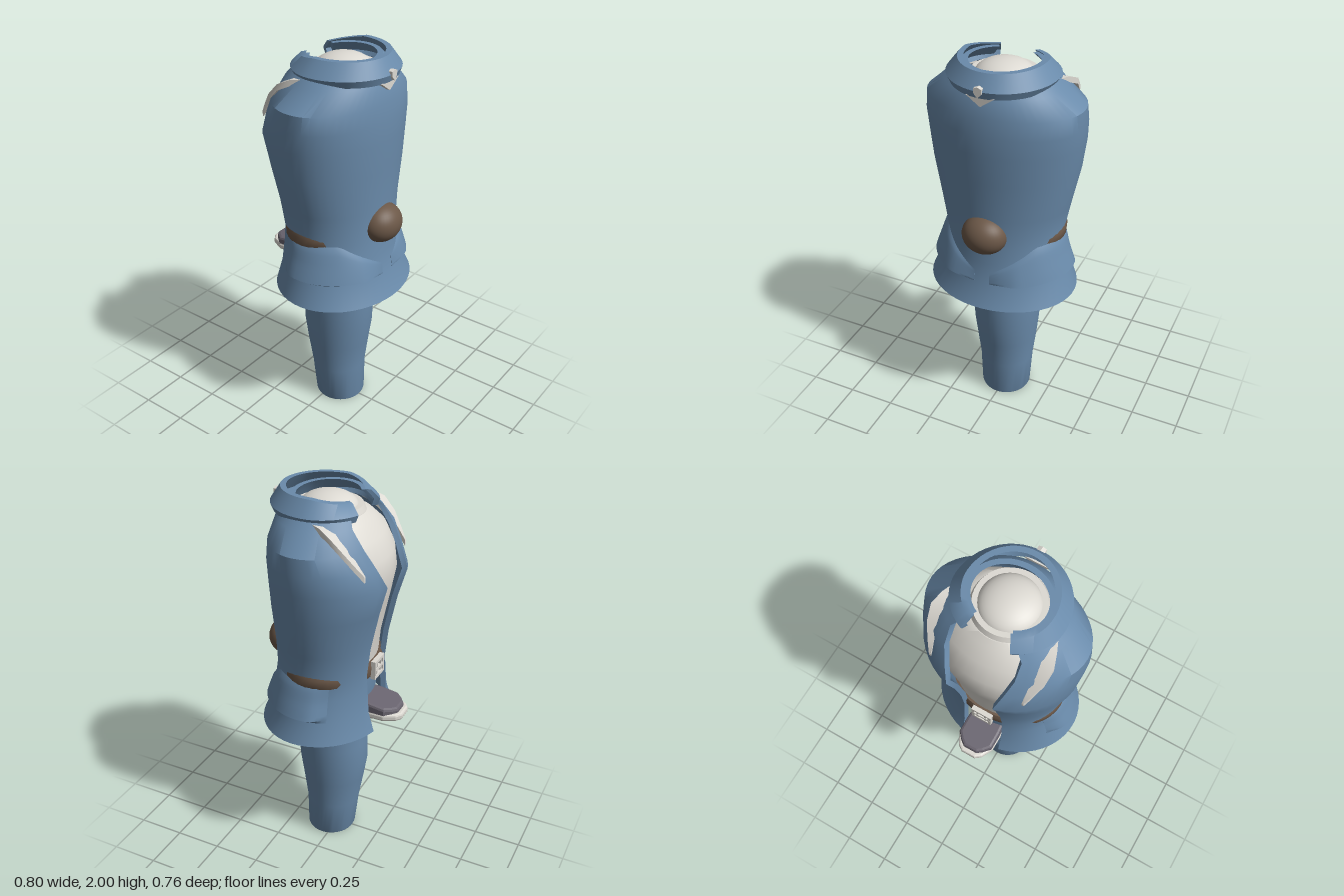
import * as THREE from 'three';
import { toCreasedNormals } from 'three/addons/utils/BufferGeometryUtils.js';

const mat = (name, color) => {
  const m = new THREE.MeshStandardMaterial({ color });
  m.name = name;
  return m;
};

// Skin closed rings; extra(n, push) may add more triangles, otherwise both ends are fanned shut
function loft(rings, extra, crease = 0.7) {
  const n = rings[0].length, pos = rings.flat(2), idx = [];
  for (let i = 0; i < rings.length - 1; i++) {
    for (let j = 0; j < n; j++) {
      const a = i * n + j, b = i * n + (j + 1) % n;
      idx.push(a, b, b + n, a, b + n, a + n);
    }
  }
  if (extra) extra(n, idx);
  else {
    const top = (rings.length - 1) * n;
    for (let j = 1; j < n - 1; j++) idx.push(0, j + 1, j, top, top + j, top + j + 1);
  }
  const g = new THREE.BufferGeometry();
  g.setAttribute('position', new THREE.Float32BufferAttribute(pos, 3));
  g.setIndex(idx);
  return toCreasedNormals(g, crease);
}

// Point on an oval whose front and back depths differ; a = 0 faces +z
function oval([y, rx, zc, zf, zb], a, grow = 0) {
  const c = Math.cos(a), depth = c > 0 ? zf - zc : zc - zb;
  return [(rx + grow) * Math.sin(a), y, zc + (depth + grow) * c];
}

// Solid body of oval levels
const body = (levels, n = 40) => loft(levels.map(l =>
  Array.from({ length: n }, (_, j) => oval(l, j / n * Math.PI * 2))));

// Thick shell, open at the back by the half-width in l[5]
function shell(levels, thick, n = 44, bend = p => p) {
  const rings = levels.map(l => {
    const lim = Math.PI - Math.asin(l[5] / l[1]);
    const angles = Array.from({ length: n }, (_, j) => lim * (2 * j / (n - 1) - 1));
    return [...angles.map(a => bend(oval(l, a))),
      ...angles.reverse().map(a => bend(oval(l, a, -thick)))];
  });
  return loft(rings, (m, idx) => {
    const t = (rings.length - 1) * m;
    for (let j = 0; j < n - 1; j++) {
      const o = j, p = j + 1, i = m - 1 - j, k = m - 2 - j;
      idx.push(o, i, k, o, k, p, t + o, t + k, t + i, t + o, t + p, t + k);
    }
  });
}

const COAT = [ // y, half width, centre z, front z, back z, opening half-width
  [0.77, 0.39, 0.06, 0.38, -0.275, 0.11], [0.88, 0.347, 0.04, 0.328, -0.245, 0.11],
  [1.0, 0.318, 0.04, 0.312, -0.24, 0.11], [1.09, 0.304, 0.03, 0.3, -0.235, 0.11],
  [1.25, 0.335, 0.03, 0.295, -0.25, 0.11], [1.45, 0.375, 0.02, 0.305, -0.29, 0.11],
  [1.6, 0.392, 0.02, 0.31, -0.335, 0.12], [1.7, 0.4, 0.03, 0.31, -0.295, 0.15],
  [1.79, 0.395, 0.03, 0.3, -0.25, 0.175], [1.88, 0.295, 0.04, 0.28, -0.21, 0.175],
  [1.97, 0.2, 0.045, 0.22, -0.13, 0.1],
];

function coatAt(y) {
  const i = Math.max(0, COAT.findIndex(l => l[0] > y) - 1);
  const f = (y - COAT[i][0]) / (COAT[i + 1][0] - COAT[i][0]);
  return COAT[i].map((v, k) => v + (COAT[i + 1][k] - v) * f);
}

// Puffed hip flap following the coat from near the front round to the side
function hipFlap() {
  const rings = [], rows = 10, cols = 24;
  for (let i = 0; i <= rows; i++) {
    const ring = [];
    for (let s = 0; s < 2; s++) {
      for (let q = 0; q <= cols; q++) {
        const u = (s ? cols - q : q) / cols, v = i / rows;
        const top = 0.95 + 0.14 * Math.min(1, u * 2.5);
        const ends = Math.min(1, u * 5, (1 - u) * 7);
        const puff = s ? -0.012 : 0.034 * ends * Math.pow(1 - v, 0.6) * Math.min(1, v * 12) + 0.001;
        ring.push(oval(coatAt(0.89 + (top - 0.89) * v), 0.12 + 1.92 * u, puff));
      }
    }
    rings.push(ring);
  }
  return loft(rings, () => {}, 0.9);
}

// Flat outline with a soft bevel
function plate(points, depth, bevel = 0) {
  const s = new THREE.Shape(points.map(p => new THREE.Vector2(...p)));
  return new THREE.ExtrudeGeometry(s, { depth, bevelEnabled: bevel > 0, bevelSize: bevel,
    bevelThickness: bevel, bevelSegments: 2 });
}

export function createModel() {
  const root = new THREE.Group();
  root.name = 'coatedFigure';
  const blue = mat('blue cloth', 0x6a8bab), white = mat('off white', 0xdddad3);
  const brown = mat('brown leather', 0x6c5848), dark = mat('dark grey', 0x6a6570);
  const add = (name, geo, material, x = 0, y = 0, z = 0) => {
    const m = new THREE.Mesh(geo, material);
    m.name = name;
    m.position.set(x, y, z);
    root.add(m);
    return m;
  };

  // Leg and hips
  add('leg', body([
    [0, 0.13, 0.035, 0.163, -0.093], [0.01, 0.135, 0.035, 0.165, -0.097], [0.2, 0.145, 0.025, 0.166, -0.12],
    [0.36, 0.163, 0.02, 0.187, -0.148], [0.48, 0.174, 0.02, 0.205, -0.167],
    [0.6, 0.179, 0.025, 0.21, -0.163], [0.8, 0.183, 0.025, 0.216, -0.16]]), blue);
  add('hips', body([
    [0.79, 0.17, 0.03, 0.2, -0.14], [0.83, 0.25, 0.03, 0.25, -0.175],
    [0.92, 0.28, 0.03, 0.27, -0.19], [1.09, 0.27, 0.03, 0.26, -0.19]]), blue);

  // Shirt, neck band and rounded neck top
  add('shirt', body([
    [1.06, 0.265, 0.03, 0.25, -0.195], [1.25, 0.29, 0.03, 0.25, -0.21], [1.45, 0.33, 0.02, 0.26, -0.25],
    [1.6, 0.345, 0.02, 0.265, -0.28], [1.7, 0.345, 0.02, 0.26, -0.265], [1.79, 0.32, 0.03, 0.25, -0.22],
    [1.86, 0.24, 0.04, 0.23, -0.165], [1.89, 0.18, 0.045, 0.225, -0.135]]), white);
  add('neckBand', new THREE.CylinderGeometry(0.165, 0.18, 0.035, 40), white, 0, 1.9, 0.045);
  add('neckTop', new THREE.SphereGeometry(0.146, 36, 20), white, 0, 1.895, 0.045).scale.y = 0.55;

  // Coat, collar and hip flaps
  add('coat', shell(COAT, 0.027), blue);
  add('collar', shell([
    [1.893, 0.25, 0.045, 0.312, -0.18, 0.12], [1.928, 0.27, 0.045, 0.322, -0.19, 0.12],
    [2, 0.212, 0.045, 0.275, -0.15, 0.1]], 0.028, 44,
  ([x, y, z]) => [x, y - (y > 1.95 ? 0.18 * Math.max(0, 0.03 - z) : 0), z]), blue);
  for (const s of [1, -1]) {
    add(s > 0 ? 'leftHipFlap' : 'rightHipFlap', hipFlap(), blue).scale.x = s;

    // Shoulder leaf: z, y, inner x, outer x
    const leaf = [[0, 1.895, 0.25, 0.26], [-0.05, 1.89, 0.228, 0.282], [-0.11, 1.862, 0.218, 0.303],
      [-0.17, 1.8, 0.235, 0.293], [-0.22, 1.73, 0.235, 0.265], [-0.255, 1.68, 0.232, 0.242]];
    add(s > 0 ? 'leftShoulderLeaf' : 'rightShoulderLeaf', loft(leaf.map(([z, y, a, b]) =>
      [[a, y + 0.012, z], [b, y + 0.012, z], [b, y - 0.018, z], [a, y - 0.018, z]])), white).scale.x = s;
  }

  // Belt and buckle
  add('belt', body([[1.05, 0.3, 0.025, 0.265, -0.212], [1.07, 0.314, 0.025, 0.27, -0.22],
    [1.115, 0.318, 0.025, 0.27, -0.22], [1.135, 0.31, 0.025, 0.265, -0.212]]), brown);
  for (const s of [1, -1]) {
    add('buckleBar', new THREE.BoxGeometry(0.11, 0.016, 0.025), white, 0, 1.093 + s * 0.042, -0.226);
    add('buckleSide', new THREE.BoxGeometry(0.016, 0.1, 0.025), white, s * 0.047, 1.093, -0.226);
    add('bucklePost', new THREE.BoxGeometry(0.01, 0.06, 0.02), white, s * 0.022, 1.093, -0.226);
  }
  add('buckleTongue', new THREE.BoxGeometry(0.1, 0.014, 0.022), white, 0, 1.093, -0.228);

  // Round front pouch
  add('frontPouch', new THREE.SphereGeometry(1, 36, 24), brown, 0, 1.155, 0.28).scale.set(0.116, 0.1, 0.1);

  // Collar badge
  add('badgeTriangle', plate([[-0.07, 1.897], [0, 1.848], [0.07, 1.897]], 0.03), white, 0, 0, 0.276);
  add('badgeStone', plate([[-0.02, 1.945], [-0.018, 1.92], [0, 1.9], [0.018, 1.92], [0.02, 1.945], [0, 1.952]],
    0.025), white, 0, 0, 0.305);

  // Tucked shoe showing through the back opening
  const outline = k => [[-0.07, 0.1], [0.07, 0.1], [0.088 * k, 0.22], [0.088 * k, 0.3], [0.06 * k, 0.355 * k],
    [0.035 * k, 0.374 * k], [-0.035 * k, 0.374 * k], [-0.06 * k, 0.355 * k], [-0.088 * k, 0.3], [-0.088 * k, 0.22]];
  add('shoeSole', plate(outline(1), 0.016, 0.011).rotateX(-Math.PI / 2), white, 0, 0.845, 0);
  const shoe = plate(outline(0.93), 0.02, 0.014).rotateX(-Math.PI / 2);
  const p = shoe.attributes.position;
  for (let i = 0; i < p.count; i++) { // slope the top down to the toe
    if (p.getY(i) > 0.01) p.setY(i, p.getY(i) + 0.15 * (0.33 + p.getZ(i)));
  }
  shoe.computeVertexNormals();
  add('shoeUpper', shoe, dark, 0, 0.868, 0);
  return root;
}
